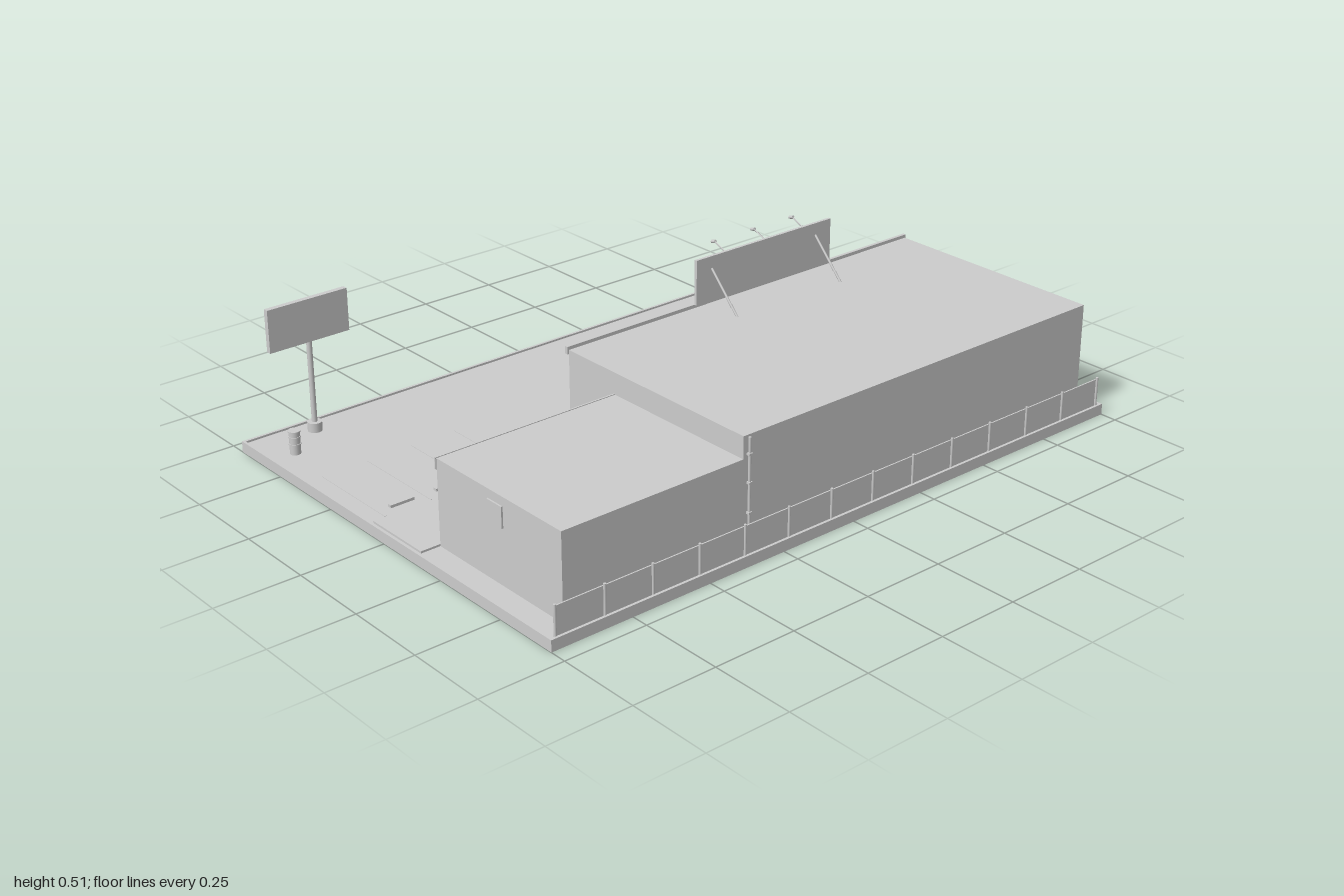
import * as THREE from 'three';

const grey = new THREE.MeshStandardMaterial({ color: 0xcccccc });
grey.name = 'plain grey';
const G = 0.027; // yard surface height

export function createModel() {
  const root = new THREE.Group();
  root.name = 'garageYard';

  const add = (name, geo) => {
    const m = new THREE.Mesh(geo, grey);
    m.name = name;
    root.add(m);
    return m;
  };
  // box from its min and max on each axis
  const box = (name, x0, x1, y0, y1, z0, z1) => {
    const m = add(name, new THREE.BoxGeometry(x1 - x0, y1 - y0, z1 - z0));
    m.position.set((x0 + x1) / 2, (y0 + y1) / 2, (z0 + z1) / 2);
    return m;
  };
  const cyl = (name, x, z, y0, y1, rTop, rBottom = rTop, n = 20) => {
    const m = add(name, new THREE.CylinderGeometry(rTop, rBottom, y1 - y0, n));
    m.position.set(x, (y0 + y1) / 2, z);
    return m;
  };
  const rod = (name, a, b, r) => {
    const A = new THREE.Vector3(...a), d = new THREE.Vector3(...b).sub(A);
    const m = add(name, new THREE.CylinderGeometry(r, r, d.length(), 8));
    m.position.copy(A).addScaledVector(d, 0.5);
    m.quaternion.setFromUnitVectors(new THREE.Vector3(0, 1, 0), d.normalize());
    return m;
  };
  // raised border around an opening in a wall facing -z
  const frame = (name, x0, x1, y0, y1, z0, z1, t, sill = false) => {
    box(name + 'Side', x0, x0 + t, y0, y1, z0, z1);
    box(name + 'Side', x1 - t, x1, y0, y1, z0, z1);
    box(name + 'Top', x0 + t, x1 - t, y1 - t, y1, z0, z1);
    if (sill) box(name + 'Sill', x0 + t, x1 - t, y0, y0 + t, z0, z1);
  };
  // wall with rectangular openings, extruded towards +z
  const wall = (name, x0, x1, y0, y1, z, depth, holes) => {
    const rect = (C, a, b, c, d) => {
      const s = new C();
      s.moveTo(a, c); s.lineTo(b, c); s.lineTo(b, d); s.lineTo(a, d); s.closePath();
      return s;
    };
    const s = rect(THREE.Shape, x0, x1, y0, y1);
    for (const h of holes) s.holes.push(rect(THREE.Path, ...h));
    add(name, new THREE.ExtrudeGeometry(s, { depth, bevelEnabled: false })).position.z = z;
  };

  // Ground slab and kerb
  box('groundSlab', -1, 1, 0, G, -0.7, 0.7);
  for (const s of [-1, 1]) {
    box('sideKerb', s < 0 ? -1 : 0.992, s < 0 ? -0.992 : 1, G, 0.033, -0.7, 0.7);
    box('endKerb', -0.992, 0.992, G, 0.033, s < 0 ? -0.7 : 0.692, s < 0 ? -0.692 : 0.7);
  }

  // Main workshop, hollow behind its door openings
  const doors = [[0.62, 0.87], [0.3, 0.56], [-0.03, 0.24]];
  wall('doorWall', -0.35, 0.945, G, 0.335, -0.05, 0.02,
    doors.map(([a, b]) => [a, b, G + 0.001, 0.262]));
  box('farWall', -0.35, 0.945, G, 0.335, 0.63, 0.65);
  box('endWall', -0.35, -0.33, G, 0.335, -0.03, 0.63);
  box('endWall', 0.925, 0.945, G, 0.335, -0.03, 0.63);
  box('mainRoof', -0.35, 0.945, 0.325, 0.34, -0.05, 0.65);
  box('roofFascia', -0.355, 0.948, 0.328, 0.35, -0.06, -0.05);
  for (const [a, b] of doors)
    frame('doorFrame', a - 0.01, b + 0.01, G, 0.272, -0.056, -0.05, 0.01);

  // One closed door; the other two are raised under the ceiling
  box('closedDoor', -0.03, 0.24, G, 0.262, -0.04, -0.032);
  for (const [a, b] of doors.slice(0, 2)) {
    box('raisedDoor', a, b, 0.275, 0.282, 0, 0.24);
    for (const x of [a, b]) box('doorTrack', x - 0.004, x + 0.004, 0.262, 0.27, -0.03, 0.25);
  }

  // Workbench inside
  box('benchTop', 0.62, 0.86, 0.1, 0.108, 0.3, 0.4);
  for (const x of [0.63, 0.85]) for (const z of [0.31, 0.39])
    box('benchLeg', x - 0.006, x + 0.006, G, 0.1, z - 0.006, z + 0.006);

  // Office annex with wide window
  box('annex', -0.925, -0.35, G, 0.276, 0.145, 0.65);
  box('annexFascia', -0.928, -0.35, 0.245, 0.278, 0.14, 0.145);
  frame('annexWindowFrame', -0.91, -0.38, 0.045, 0.18, 0.138, 0.145, 0.01, true);
  box('wallBox', -0.93, -0.925, 0.19, 0.25, 0.36, 0.42);

  // Drainpipe and its brackets
  cyl('drainpipe', -0.333, 0.655, G, 0.335, 0.004, 0.004, 10);
  for (const y of [0.12, 0.205, 0.285]) box('pipeBracket', -0.339, -0.327, y, y + 0.006, 0.649, 0.661);

  // Pavement and parking bays
  box('pavement', -0.985, -0.35, G, 0.033, -0.07, 0.145);
  for (let i = 0; i < 4; i++) {
    const x = -0.94 + i * 0.145;
    box('bayLine', x - 0.003, x + 0.003, G, G + 0.001, -0.38, -0.08);
    if (i < 3) box('wheelStop', x + 0.035, x + 0.11, G, G + 0.008, -0.12, -0.108);
  }

  // Boundary fence
  box('fencePanel', -0.98, 0.98, G, 0.113, 0.685, 0.689);
  for (let i = 0; i < 14; i++)
    cyl('fencePost', -0.98 + i * 1.96 / 13, 0.69, G, 0.119, 0.004, 0.004, 8);

  // Rooftop board with struts and lamps
  box('roofBoard', 0.09, 0.607, 0.355, 0.49, -0.04, -0.031);
  for (const x of [0.147, 0.548])
    rod('boardStrut', [x, 0.338, 0.077], [x, 0.453, -0.032], 0.0035);
  for (const x of [0.2, 0.35, 0.5]) {
    rod('lampArm', [x, 0.488, -0.036], [x, 0.506, -0.08], 0.002);
    rod('lampHead', [x, 0.507, -0.077], [x, 0.503, -0.092], 0.005);
  }

  // Roadside sign
  cyl('signFoot', -0.8, -0.64, G, 0.055, 0.021, 0.021, 16);
  cyl('signPole', -0.8, -0.64, 0.055, 0.3, 0.008);
  box('signBoard', -0.928, -0.673, 0.3, 0.427, -0.648, -0.632);

  // Banded drums
  for (const [x, z, h] of [[0.84, -0.5, 0.085], [0.9, -0.5, 0.085], [-0.92, -0.55, 0.097]]) {
    cyl('drum', x, z, G, h, 0.0155);
    for (const t of [0.4, 0.7])
      cyl('drumBand', x, z, G + (h - G) * t, G + (h - G) * t + 0.004, 0.0175);
    cyl('drumRim', x, z, h - 0.004, h, 0.0175);
  }
  return root;
}
